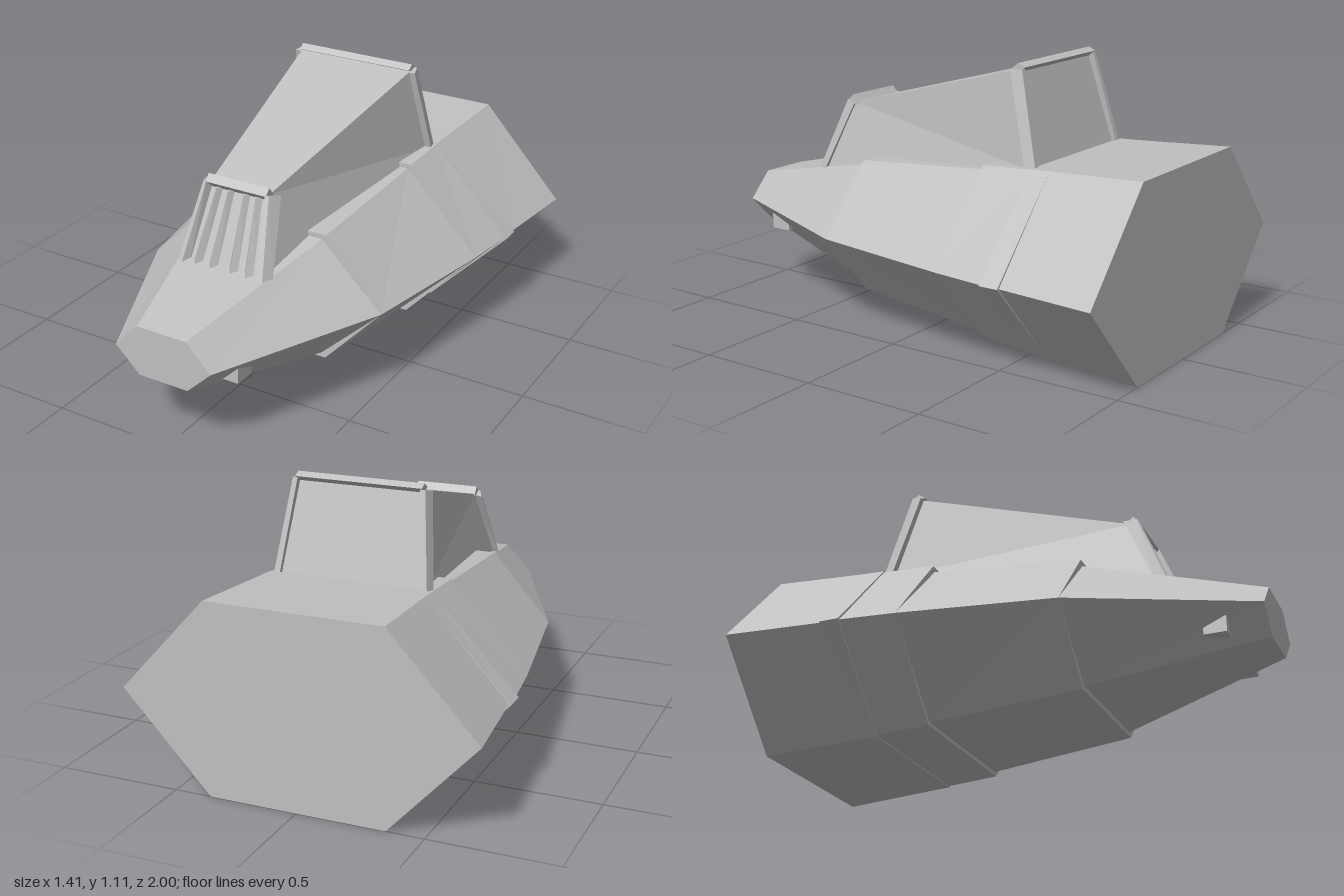
import * as THREE from 'three';

const grey = new THREE.MeshStandardMaterial({ color: 0xc0c0c0 });
grey.name = 'hull grey';

// Closed solid through a list of point loops; faces are turned outward by signed volume.
function loft(name, loops) {
  const V = loops.map(l => l.map(p => new THREE.Vector3(...p)));
  const n = V[0].length, tris = [];
  for (let s = 0; s < V.length - 1; s++) {
    for (let i = 0; i < n; i++) {
      const j = (i + 1) % n;
      const a = V[s][i], b = V[s][j], c = V[s + 1][j], d = V[s + 1][i];
      if (a.distanceTo(c) < b.distanceTo(d)) tris.push([a, d, c], [a, c, b]);
      else tris.push([a, d, b], [d, c, b]);
    }
  }
  const last = V[V.length - 1];
  for (let i = 1; i < n - 1; i++) {
    tris.push([V[0][0], V[0][i], V[0][i + 1]], [last[0], last[i + 1], last[i]]);
  }
  let volume = 0;
  const cross = new THREE.Vector3();
  for (const [a, b, c] of tris) volume += a.dot(cross.crossVectors(b, c));
  const pos = [];
  for (const t of tris) {
    if (volume < 0) t.reverse();
    for (const p of t) pos.push(p.x, p.y, p.z);
  }
  const geo = new THREE.BufferGeometry();
  geo.setAttribute('position', new THREE.Float32BufferAttribute(pos, 3));
  geo.computeVertexNormals();
  const mesh = new THREE.Mesh(geo, grey);
  mesh.name = name;
  return mesh;
}

const mirrored = (loops, side) => loops.map(l => l.map(([x, y, z]) => [x * side, y, z]));

export function createModel() {
  const model = new THREE.Group();
  model.name = 'spacecraft';

  // Hull: six-sided sections from nose to stern [z, half width, deck half width, top, bottom]
  const mid = 0.38;
  const sections = [
    [1, 0.21, 0.107, 0.485, 0.28],
    [0.31, 0.525, 0.262, 0.635, 0.13],
    [0.31, 0.525, 0.28, 0.655, 0.112],
    [-0.305, 0.635, 0.31, 0.705, 0.056],
    [-0.305, 0.635, 0.325, 0.725, 0.042],
    [-0.525, 0.663, 0.33, 0.737, 0.028],
    [-0.525, 0.675, 0.333, 0.74, 0.024],
    [-0.605, 0.675, 0.335, 0.743, 0.02],
    [-0.605, 0.664, 0.335, 0.743, 0.02],
    [-1, 0.705, 0.352, 0.762, 0],
  ];
  model.add(loft('hull', sections.map(([z, w, t, top, bottom]) => [
    [w, mid, z], [t, top, z], [-t, top, z], [-w, mid, z], [-t, bottom, z], [t, bottom, z],
  ])));

  // Cabin: tapered block rising toward the rear
  model.add(loft('cabin', [
    [[0.18, 0.56, 0.6], [0.13, 0.855, 0.47], [-0.13, 0.855, 0.47], [-0.18, 0.56, 0.6]],
    [[0.3, 0.72, -0.515], [0.258, 1.09, -0.415], [-0.258, 1.09, -0.415], [-0.3, 0.72, -0.515]],
  ]));

  // Window frame posts at both ends of the cabin
  for (const side of [1, -1]) {
    model.add(loft('frontPost', mirrored([
      [[0.15, 0.56, 0.6], [0.168, 0.56, 0.632], [0.19, 0.56, 0.625], [0.21, 0.56, 0.582]],
      [[0.12, 0.85, 0.475], [0.13, 0.865, 0.505], [0.145, 0.865, 0.5], [0.168, 0.852, 0.45]],
    ], side)));
    model.add(loft('rearPost', mirrored([
      [[0.29, 0.73, -0.49], [0.325, 0.73, -0.49], [0.315, 0.73, -0.532], [0.29, 0.73, -0.532]],
      [[0.25, 1.085, -0.395], [0.282, 1.085, -0.395], [0.27, 1.095, -0.44], [0.25, 1.095, -0.44]],
    ], side)));

    // Small wedge intake under the nose
    model.add(loft('noseIntake', mirrored([
      [[0.233, 0.275, 0.86], [0.233, 0.34, 0.86], [0.166, 0.275, 0.86]],
      [[0.233, 0.275, 0.77], [0.233, 0.31, 0.77], [0.17, 0.275, 0.77]],
    ], side)));
  }

  // Crossbars [half length, profile as z, y]
  const bars = {
    frontBar: [0.135, [[0.505, 0.86], [0.48, 0.886], [0.45, 0.85], [0.475, 0.83]]],
    rearBar: [0.258, [[-0.39, 1.095], [-0.415, 1.114], [-0.445, 1.1], [-0.42, 1.08]]],
  };
  for (const [name, [half, profile]] of Object.entries(bars)) {
    model.add(loft(name, [half, -half].map(x => profile.map(([z, y]) => [x, y, z]))));
  }

  // Ribs down the sloping cabin front
  for (const u of [-0.115, -0.045, 0.045, 0.115]) {
    const rib = (x, y, z, r) => [[x - r, y, z - 0.005], [x, y, z + 0.025], [x + r, y, z - 0.005]];
    model.add(loft('frontRib', [rib(u, 0.562, 0.6, 0.022), rib(u * 0.76, 0.84, 0.477, 0.017)]));
  }

  return model;
}
